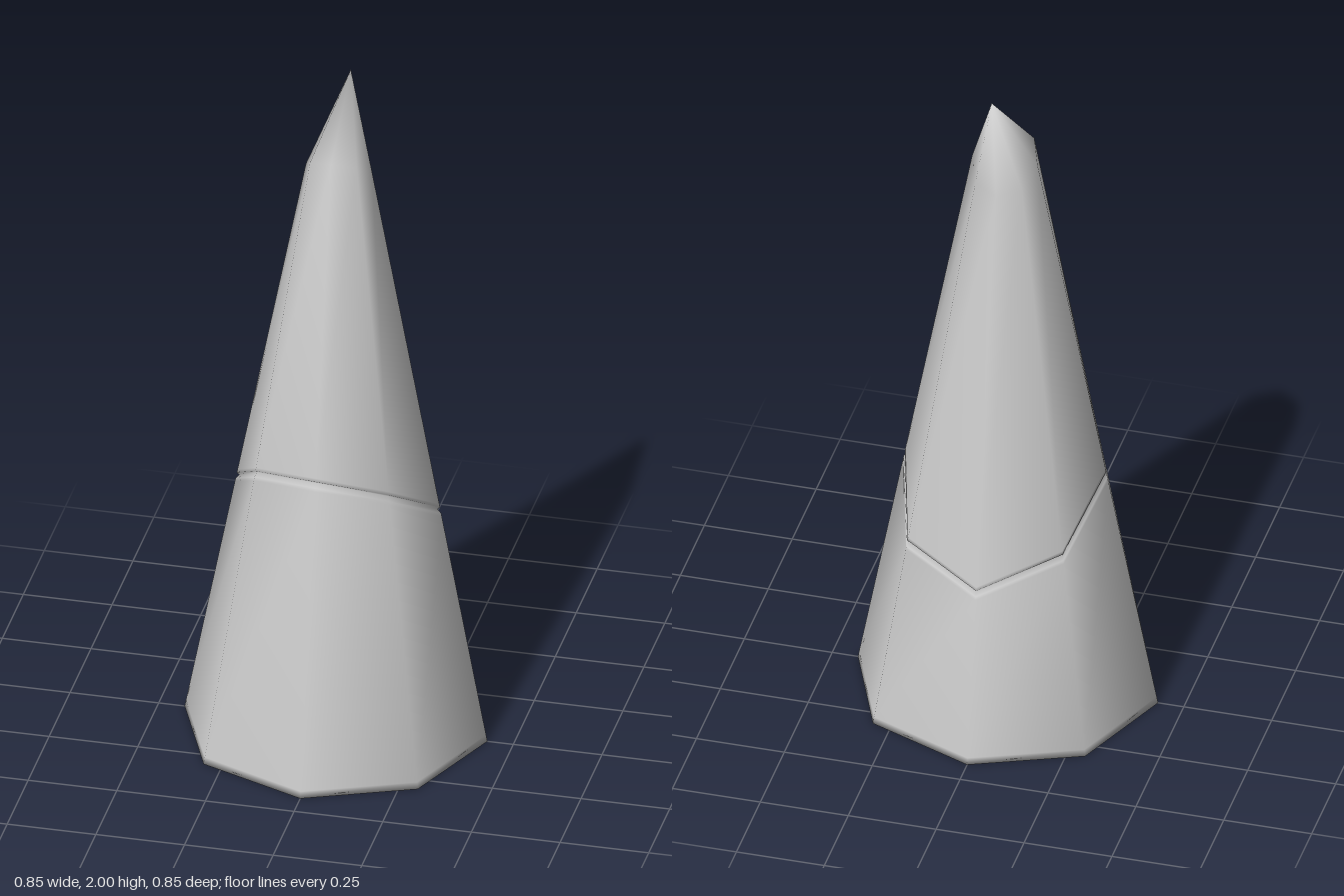
import * as THREE from 'three';

const SIDES = 8;
// Height of the slanted seam at each corner, going round from the front
const SEAM = [0.895, 0.84, 0.71, 0.57, 0.51, 0.6, 0.745, 0.865];

// Point on the tapering wall at corner i and height y, pushed in by inset
function wallPoint(i, y, inset = 0) {
  const a = (i / SIDES) * Math.PI * 2;
  const t = y / topHeight(i);
  const r = THREE.MathUtils.lerp(0.427, 0.093, t) - inset;
  return [0.003 * t + r * Math.sin(a), y, -0.022 * t + r * Math.cos(a)];
}

// The shoulder below the tip slopes down toward the back
function topHeight(i) {
  return 1.745 + 0.06 * Math.cos((i / SIDES) * Math.PI * 2);
}

export function createModel() {
  const group = new THREE.Group();
  group.name = 'spike';

  // Cross-sections from the base up: rim, seam groove, shoulder
  const rows = [
    (i) => wallPoint(i, 0),
    (i) => wallPoint(i, 0.02),
    (i) => wallPoint(i, SEAM[i] - 0.022),
    (i) => wallPoint(i, SEAM[i] - 0.012),
    (i) => wallPoint(i, SEAM[i], 0.008),
    (i) => wallPoint(i, SEAM[i] + 0.006),
    (i) => wallPoint(i, SEAM[i] + 0.016),
    (i) => wallPoint(i, topHeight(i)),
  ];
  const positions = [];
  const index = [];
  for (const row of rows) {
    for (let i = 0; i < SIDES; i++) positions.push(...row(i));
  }
  const base = rows.length * SIDES;
  const tip = base + 1;
  positions.push(0, 0, 0, 0.013, 2, -0.122);

  for (let i = 0; i < SIDES; i++) {
    const j = (i + 1) % SIDES;
    // Walls
    for (let r = 0; r < rows.length - 1; r++) {
      const lo = r * SIDES;
      const hi = lo + SIDES;
      index.push(lo + i, lo + j, hi + j, lo + i, hi + j, hi + i);
    }
    // Underside and off-centre tip
    const last = base - SIDES;
    index.push(base, j, i, last + i, last + j, tip);
  }

  const geometry = new THREE.BufferGeometry();
  geometry.setAttribute('position', new THREE.Float32BufferAttribute(positions, 3));
  geometry.setIndex(index);
  geometry.computeVertexNormals();

  const body = new THREE.Mesh(geometry, new THREE.MeshStandardMaterial({ color: 0xcccccc }));
  body.name = 'spikeBody';
  group.add(body);
  return group;
}
